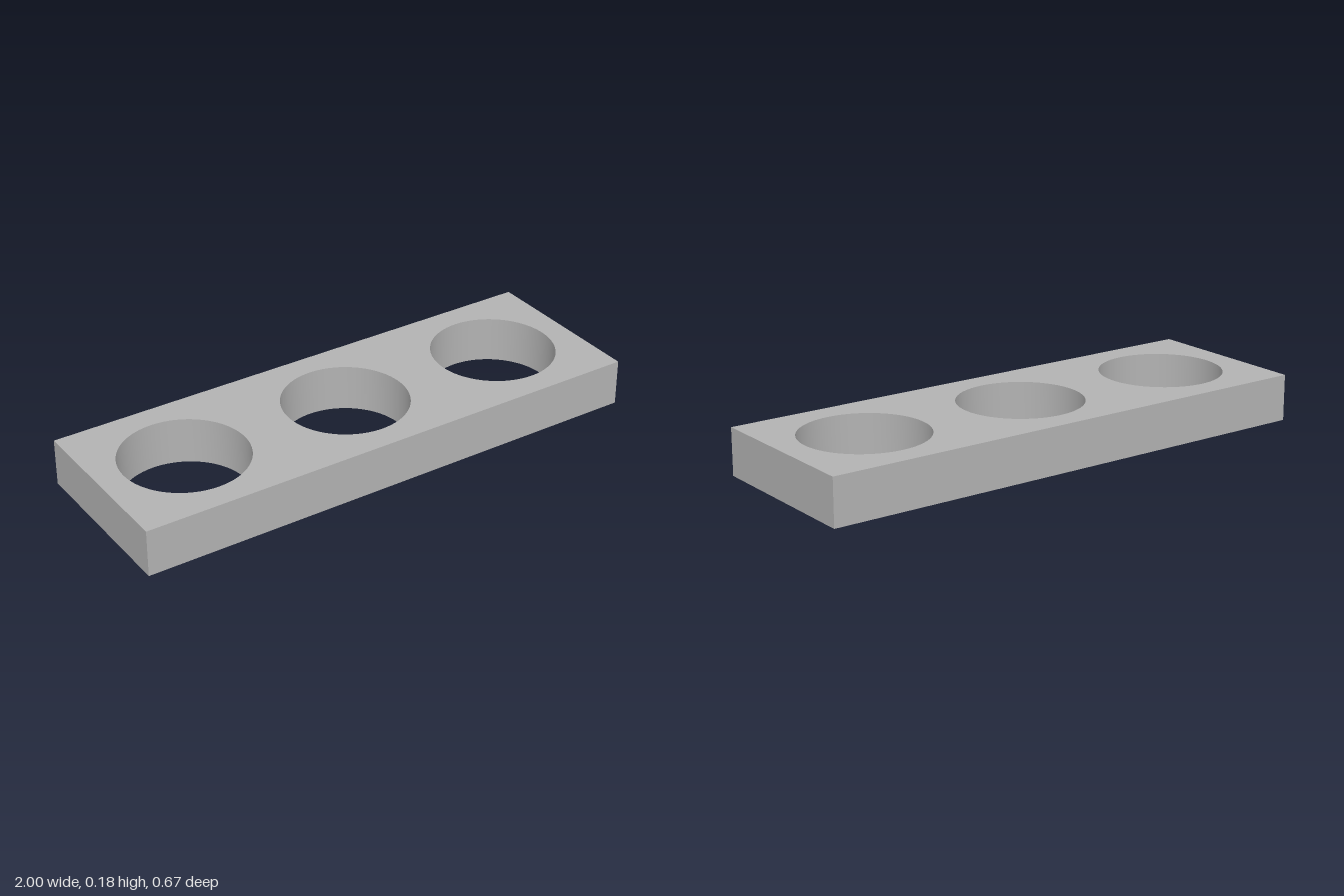
import * as THREE from 'three';
import { toCreasedNormals } from 'three/addons/utils/BufferGeometryUtils.js';

const LENGTH = 2, DEPTH = 0.667, HEIGHT = 0.178;
const HOLE_RADIUS = 0.236, HOLE_SPACING = 0.667;

export function createModel() {
  const group = new THREE.Group();
  group.name = 'threeHoleBlock';

  const grey = new THREE.MeshStandardMaterial({ color: 0xb2b2b2 });
  grey.name = 'grey';

  // Rectangular outline of the block
  const x = LENGTH / 2, z = DEPTH / 2;
  const outline = new THREE.Shape([
    new THREE.Vector2(-x, -z), new THREE.Vector2(x, -z),
    new THREE.Vector2(x, z), new THREE.Vector2(-x, z),
  ]);

  // Three round through holes in a row
  for (const i of [-1, 0, 1]) {
    const hole = new THREE.Path();
    hole.absarc(i * HOLE_SPACING, 0, HOLE_RADIUS, 0, Math.PI * 2, true);
    outline.holes.push(hole);
  }

  // Extrude upwards, with smooth hole walls and sharp edges
  const extruded = new THREE.ExtrudeGeometry(outline, {
    depth: HEIGHT, bevelEnabled: false, curveSegments: 64,
  });
  extruded.rotateX(-Math.PI / 2);
  const block = new THREE.Mesh(toCreasedNormals(extruded, Math.PI / 6), grey);
  block.name = 'block';
  group.add(block);

  return group;
}
